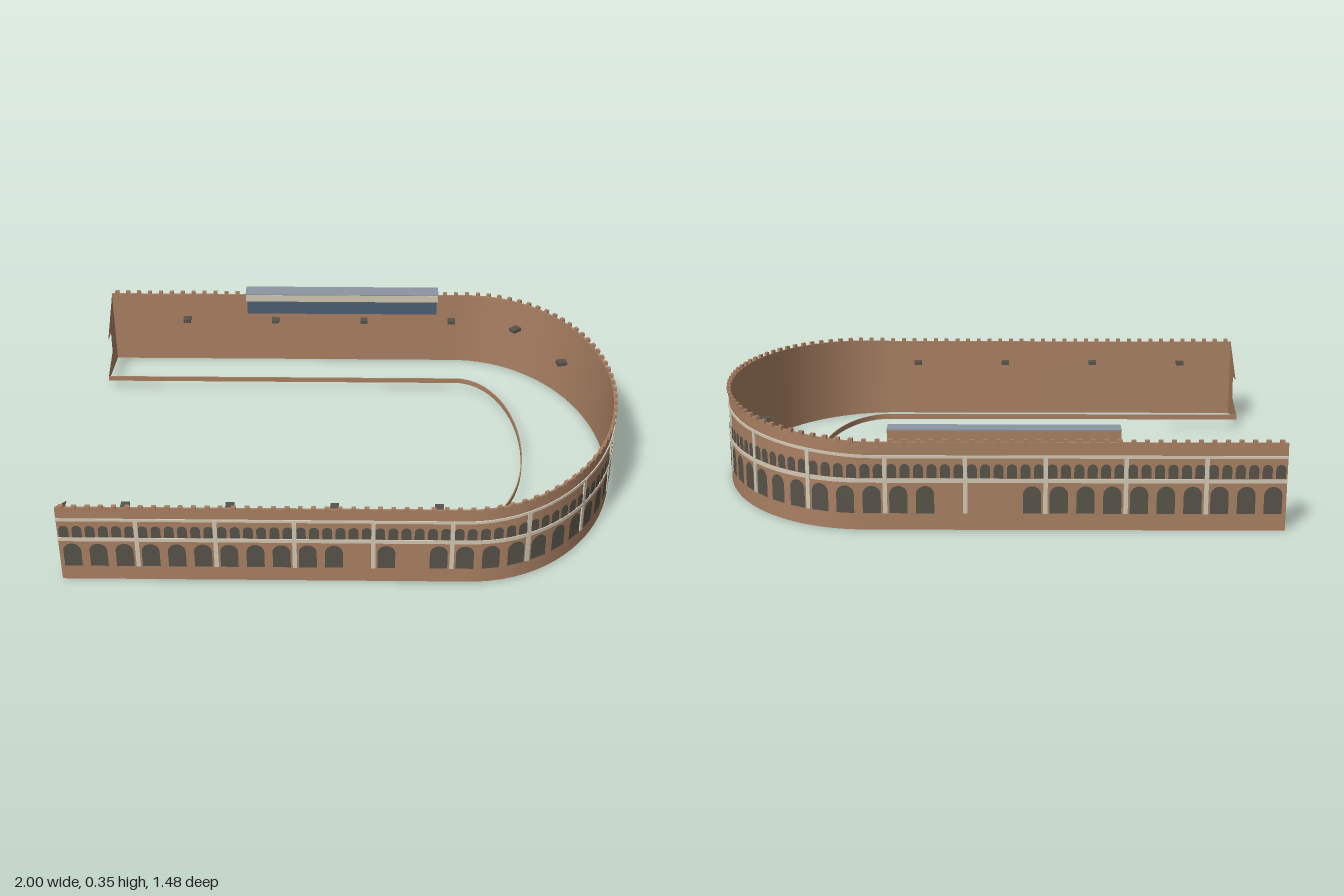
import * as THREE from 'three';
import { mergeGeometries } from 'three/addons/utils/BufferGeometryUtils.js';

const mat = (name, color, side = THREE.FrontSide) => {
  const m = new THREE.MeshStandardMaterial({ color, side });
  m.name = name;
  return m;
};

// Horseshoe path: straight, half ellipse round +x, straight back; sampled by length
function makePath(x0, a, b) {
  const pts = [[-1, b, 0]];
  for (let i = 0; i <= 200; i++) {
    const t = (i / 200) * Math.PI;
    pts.push([x0 + a * Math.sin(t), b * Math.cos(t), Math.sin(t)]);
  }
  pts.push([-1, -b, 0]);
  const len = [0];
  for (let i = 1; i < pts.length; i++) {
    len.push(len[i - 1] + Math.hypot(pts[i][0] - pts[i - 1][0], pts[i][1] - pts[i - 1][1]));
  }
  const length = len[len.length - 1];
  const at = (s) => {
    let i = 1;
    while (i < pts.length - 1 && len[i] < s) i++;
    const p = pts[i - 1], q = pts[i], d = len[i] - len[i - 1], f = (s - len[i - 1]) / d;
    const tx = (q[0] - p[0]) / d, tz = (q[1] - p[1]) / d;
    return {
      x: p[0] + (q[0] - p[0]) * f, z: p[1] + (q[1] - p[1]) * f,
      rise: 0.032 * (p[2] + (q[2] - p[2]) * f), tx, tz, nx: -tz, nz: tx,
    };
  };
  return { length, at };
}

// Rectangular section swept along a path; section(rise) gives four [outward, y] corners
function sweep(path, section, n = 108) {
  const pos = [], idx = [];
  const ring = (i) => {
    const p = path.at((i / n) * path.length);
    return section(p.rise).map(([o, y]) => [p.x + p.nx * o, y, p.z + p.nz * o]);
  };
  const rings = Array.from({ length: n + 1 }, (_, i) => ring(i));
  for (let j = 0; j < 4; j++) {
    const base = pos.length / 3;
    rings.forEach((r) => pos.push(...r[j], ...r[(j + 1) % 4]));
    for (let i = 0; i < n; i++) {
      const k = base + i * 2;
      idx.push(k, k + 2, k + 3, k, k + 3, k + 1);
    }
  }
  [rings[0], [...rings[n]].reverse()].forEach((r) => {
    const k = pos.length / 3;
    r.forEach((c) => pos.push(...c));
    idx.push(k, k + 1, k + 2, k, k + 2, k + 3);
  });
  const g = new THREE.BufferGeometry();
  g.setAttribute('position', new THREE.Float32BufferAttribute(pos, 3));
  g.setIndex(idx);
  g.computeVertexNormals();
  return g;
}

const rect = (o0, o1, y0, y1) => [[o1, y0], [o1, y1], [o0, y1], [o0, y0]];

// Turns a geometry to face outward at distance s along the path
function place(geo, p, out, y) {
  const m = new THREE.Matrix4().makeBasis(
    new THREE.Vector3(p.tx, 0, p.tz), new THREE.Vector3(0, 1, 0), new THREE.Vector3(p.nx, 0, p.nz));
  m.setPosition(p.x + p.nx * out, y, p.z + p.nz * out);
  return geo.applyMatrix4(m);
}

function archGeometry(w, h) {
  const r = w / 2, s = new THREE.Shape();
  s.moveTo(-r, 0);
  s.lineTo(r, 0);
  s.lineTo(r, h - r);
  s.absarc(0, h - r, r, 0, Math.PI, false);
  s.closePath();
  return new THREE.ShapeGeometry(s, 8);
}

export function createModel() {
  const root = new THREE.Group();
  root.name = 'horseshoeStadium';
  const brick = mat('brick', 0xa98062);
  const brickSheet = mat('brick sheet', 0xa98062, THREE.DoubleSide);
  const dark = mat('dark opening', 0x57534a);
  const cream = mat('cream stone', 0xd2c8b4);
  const slate = mat('slate roof', 0x8c95a1);
  const glass = mat('blue glass', 0x4c5f74);
  const add = (name, geo, material, parent = root) => {
    const m = new THREE.Mesh(geo, material);
    m.name = name;
    parent.add(m);
    return m;
  };

  const path = makePath(0.43, 0.565, 0.733);
  const L = path.length, bays = 18;

  // Outer wall, rising towards the middle of the curve
  add('outerWall', sweep(path, (r) => rect(-0.008, 0, 0, 0.312 + r)), brick);
  add('lowerBelt', sweep(path, () => rect(-0.001, 0.004, 0.17, 0.184)), cream);
  add('upperBelt', sweep(path, (r) => rect(-0.001, 0.004, 0.257 + r, 0.267 + r)), cream);

  // Pilasters between the bays
  const pilasters = [];
  for (let k = 1; k < bays; k++) {
    const p = path.at((k * L) / bays), h = 0.205 + p.rise;
    pilasters.push(place(new THREE.BoxGeometry(0.015, h, 0.006), p, 0.002, 0.06 + h / 2));
  }
  add('pilasters', mergeGeometries(pilasters), cream);

  // Three tall arches per bay, with blank wall at the gates
  const nLow = bays * 3, blank = [11, 13, nLow - 11, nLow - 12, nLow - 13];
  const lower = [];
  for (let i = 0; i < nLow; i++) {
    if (blank.includes(i)) continue;
    lower.push(place(archGeometry(0.062, 0.098), path.at(((i + 0.5) * L) / nLow), 0.002, 0.06));
  }
  add('lowerArches', mergeGeometries(lower), dark);

  // Six small arches per bay, and a merlon over each
  const upper = [], merlons = [], nUp = bays * 6;
  for (let i = 0; i < nUp; i++) {
    const p = path.at(((i + 0.5) * L) / nUp);
    upper.push(place(archGeometry(0.034, 0.05), p, 0.002, 0.186));
    merlons.push(place(new THREE.BoxGeometry(0.016, 0.014, 0.012), p, 0, 0.316 + p.rise));
  }
  add('upperArches', mergeGeometries(upper), dark);
  add('merlons', mergeGeometries(merlons), brick);

  // Thin wall round the field
  add('fieldWall', sweep(makePath(0.43, 0.23, 0.482), () => rect(-0.002, 0.002, 0.042, 0.062)), brick);

  // Stand profile closing each open end: [distance inward, y]
  const profile = [[0, 0], [0, 0.312], [0.19, 0.195], [0.11, 0.188], [0.115, 0.1], [0.25, 0.062], [0.25, 0.044]];
  for (const side of [1, -1]) {
    const shape = new THREE.Shape(profile.map(([d, y]) => new THREE.Vector2(side * (0.73 - d), y)));
    const cap = add(side > 0 ? 'leftEndCap' : 'rightEndCap', new THREE.ShapeGeometry(shape), brickSheet);
    cap.rotation.y = -Math.PI / 2;
    cap.position.x = -0.999;
  }

  // Stand entrances: [x, z, turn]
  const entrances = [[0.41, -0.635, 0], [0.665, -0.54, 0.7], [0.83, -0.29, 0.2]];
  for (let i = 0; i < 4; i++) {
    entrances.push([-0.775 + i * 0.365, 0.63, 0]);
    if (i < 3) entrances.push([-0.68 + i * 0.365, -0.635, 0]);
  }
  for (const [x, z, turn] of entrances) {
    const e = add('standEntrance', new THREE.BoxGeometry(turn ? 0.038 : 0.03, 0.014, 0.03), dark);
    e.position.set(x, x > 0.6 ? 0.265 : 0.245, z);
    e.rotation.y = turn;
  }

  // Press box on the back stand
  const box = new THREE.Group();
  box.name = 'pressBox';
  box.position.set(-0.041, 0, -0.69);
  root.add(box);
  const slab = (name, w, h, d, y, z, m) => add(name, new THREE.BoxGeometry(w, h, d), m, box).position.set(0, y, z);
  slab('pressBoxBody', 0.79, 0.093, 0.06, 0.3035, 0, brick);
  slab('pressBoxRoof', 0.792, 0.004, 0.064, 0.352, 0, slate);
  slab('pressBoxFascia', 0.79, 0.03, 0.003, 0.335, 0.031, cream);
  slab('pressBoxWindows', 0.78, 0.057, 0.003, 0.2915, 0.031, glass);
  return root;
}
